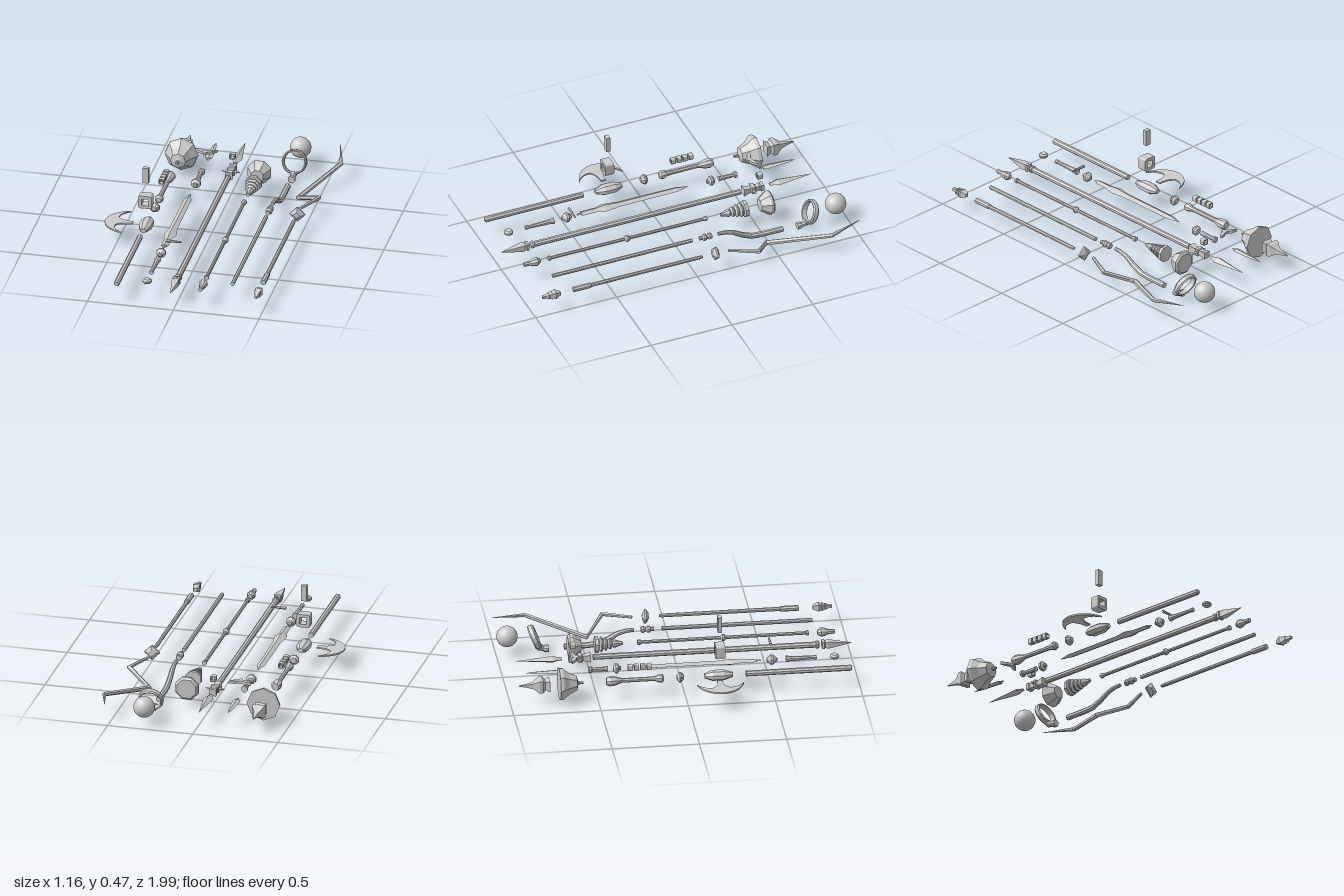
import * as THREE from 'three';

const material = new THREE.MeshStandardMaterial({ color: 0xcccccc, flatShading: true, side: THREE.DoubleSide });
const smooth = new THREE.MeshStandardMaterial({ color: 0xcccccc });
const AXIS = 0.11; // height at which all weapon pieces lie

export function createModel() {
  const model = new THREE.Group();

  function add(name, geometry, x = 0, y = 0, z = 0, mat = material) {
    const mesh = new THREE.Mesh(geometry, mat);
    mesh.name = name;
    mesh.position.set(x, y, z);
    model.add(mesh);
    return mesh;
  }

  // Turned piece lying along z; profile is [z, half width], flat = side faces up
  function turned(name, x, profile, sides = 8, flat = true, yScale = 1) {
    const k = flat ? 1 / Math.cos(Math.PI / sides) : 1;
    const ends = [[profile[0][0], 0], ...profile, [profile[profile.length - 1][0], 0]];
    const pts = ends.map(([z, r]) => new THREE.Vector2(r * k, z));
    const g = new THREE.LatheGeometry(pts, sides, flat ? Math.PI / sides : 0);
    g.rotateX(Math.PI / 2).scale(1, yScale, 1);
    return add(name, g, x, AXIS);
  }

  // Flat plate from an outline of [x, z], extruded upwards
  function plate(name, shape, y, thickness) {
    const g = new THREE.ExtrudeGeometry(shape, { depth: thickness, bevelEnabled: false, curveSegments: 8 });
    g.rotateX(-Math.PI / 2);
    return add(name, g, 0, y - thickness / 2);
  }

  // Tapered bent rod through [x, y, z, radius] sections
  function rod(name, path, sides = 6) {
    const p = path.map(a => new THREE.Vector3(a[0], a[1], a[2]));
    const pos = [], idx = [];
    p.forEach((c, i) => {
      const t = p[Math.min(i + 1, p.length - 1)].clone().sub(p[Math.max(i - 1, 0)]).normalize();
      const u = new THREE.Vector3(0, 1, 0).cross(t).normalize();
      const v = t.clone().cross(u);
      for (let s = 0; s < sides; s++) {
        const a = ((s + 0.5) / sides) * Math.PI * 2, r = path[i][3];
        const q = c.clone().addScaledVector(u, Math.cos(a) * r).addScaledVector(v, Math.sin(a) * r);
        pos.push(q.x, q.y, q.z);
        if (i < p.length - 1) {
          const b = i * sides, n = (s + 1) % sides;
          idx.push(b + s, b + n, b + s + sides, b + n, b + n + sides, b + s + sides);
        }
      }
    });
    const last = (p.length - 1) * sides;
    for (let s = 1; s < sides - 1; s++) idx.push(0, s + 1, s, last, last + s, last + s + 1);
    const g = new THREE.BufferGeometry();
    g.setAttribute('position', new THREE.Float32BufferAttribute(pos, 3));
    g.setIndex(idx);
    g.computeVertexNormals();
    return add(name, g);
  }

  // Square frame with rounded corners, opening along z
  function frame(name, x, y, z, half, hole, depth) {
    const c = half * 0.35, s = new THREE.Shape();
    s.moveTo(-half + c, -half).lineTo(half - c, -half).quadraticCurveTo(half, -half, half, -half + c);
    s.lineTo(half, half - c).quadraticCurveTo(half, half, half - c, half);
    s.lineTo(-half + c, half).quadraticCurveTo(-half, half, -half, half - c);
    s.lineTo(-half, -half + c).quadraticCurveTo(-half, -half, -half + c, -half);
    const h = new THREE.Path();
    h.moveTo(-hole, -hole).lineTo(-hole, hole).lineTo(hole, hole).lineTo(hole, -hole).closePath();
    s.holes.push(h);
    const g = new THREE.ExtrudeGeometry(s, { depth, bevelEnabled: false, curveSegments: 3 });
    return add(name, g, x, y, z - depth / 2);
  }

  // Column 1: mace and axe pieces
  const A = -0.341;
  turned('maceFinial', A, [[-0.95, 0.002], [-0.91, 0.008], [-0.87, 0.016], [-0.835, 0.037], [-0.815, 0.037],
    [-0.8, 0.024], [-0.78, 0.033], [-0.775, 0.033]], 4);
  turned('maceBell', A, [[-0.72, 0.098], [-0.7, 0.096], [-0.665, 0.066], [-0.62, 0.045], [-0.61, 0.01], [-0.58, 0.007]], 8, false);
  turned('maceHandle', A, [[-0.45, 0.02], [-0.43, 0.028], [-0.4, 0.025], [-0.36, 0.012], [-0.2, 0.012],
    [-0.17, 0.014], [-0.145, 0.023], [-0.13, 0.023], [-0.12, 0.014]]);
  for (let i = 0; i < 4; i++) frame('gripBand', A, 0.19, -0.205 - i * 0.036, 0.016, 0.011, 0.027);
  turned('macePommel', A, [[-0.045, 0.016], [-0.032, 0.028], [-0.024, 0.028], [-0.005, 0.013]]);
  turned('axeHead', A, [[0.113, 0.016], [0.157, 0.036], [0.223, 0.036], [0.275, 0.016]], 8, true, 0.76);
  frame('axeSocket', A, 0.267, 0.2, 0.039, 0.02, 0.054);
  add('axeWedge', new THREE.BoxGeometry(0.034, 0.094, 0.024), A, 0.43, 0.2);
  turned('axeShaft', A, [[0.35, 0.015], [0.95, 0.016], [0.957, 0.012]]);
  const blade = new THREE.Shape();
  blade.moveTo(-0.46, -0.055).quadraticCurveTo(-0.575, -0.09, -0.582, -0.19).quadraticCurveTo(-0.575, -0.29, -0.455, -0.325);
  blade.quadraticCurveTo(-0.52, -0.285, -0.51, -0.235).quadraticCurveTo(-0.485, -0.203, -0.42, -0.205);
  blade.lineTo(-0.42, -0.175).quadraticCurveTo(-0.485, -0.177, -0.51, -0.145).quadraticCurveTo(-0.52, -0.095, -0.46, -0.055);
  plate('axeBlade', blade, AXIS, 0.009);

  // Column 2: dagger and sword pieces
  const B = -0.18;
  turned('daggerBlade', B, [[-0.89, 0.001], [-0.85, 0.012], [-0.71, 0.022], [-0.695, 0.02], [-0.69, 0.008], [-0.67, 0.008]], 4, false, 0.4);
  const guard = new THREE.Shape();
  guard.moveTo(-0.246, 0.635).lineTo(-0.21, 0.632).quadraticCurveTo(B, 0.605, -0.15, 0.632).lineTo(-0.115, 0.635);
  guard.lineTo(-0.14, 0.61).lineTo(-0.168, 0.6).lineTo(-0.172, 0.585).lineTo(-0.188, 0.585).lineTo(-0.192, 0.6).lineTo(-0.22, 0.61);
  plate('daggerGuard', guard, 0.19, 0.016);
  turned('daggerGrip', B, [[-0.53, 0.018], [-0.515, 0.018], [-0.51, 0.011], [-0.44, 0.012], [-0.42, 0.015]]);
  turned('daggerPommel', B, [[-0.39, 0.015], [-0.378, 0.027], [-0.365, 0.027], [-0.355, 0.012], [-0.345, 0.01]]);
  turned('swordBlade', B, [[-0.235, 0.001], [-0.16, 0.022], [0.2, 0.024], [0.285, 0.037], [0.34, 0.022], [0.43, 0.021],
    [0.432, 0.008], [0.455, 0.008]], 4, false, 0.5);
  turned('swordCollar', B, [[0.49, 0.01], [0.502, 0.018], [0.512, 0.027], [0.525, 0.027], [0.54, 0.015], [0.55, 0.008]]);
  const arm = new THREE.CylinderGeometry(0.005, 0.009, 0.09, 6).rotateZ(-Math.PI / 2);
  add('swordGuardArm', arm, -0.107, 0.19, 0.517);
  turned('swordGrip', B, [[0.6, 0.018], [0.608, 0.018], [0.62, 0.014], [0.7, 0.011], [0.755, 0.009], [0.76, 0.012], [0.775, 0.012]]);
  const disc = [[0, -0.013], [0.018, -0.013], [0.027, -0.005], [0.027, 0.005], [0.018, 0.013], [0, 0.013]];
  add('swordPommel', new THREE.LatheGeometry(disc.map(p => new THREE.Vector2(...p)), 10), B, AXIS, 0.878);

  // Column 3: spear
  const C = -0.018;
  turned('spearHead', C, [[-0.925, 0.001], [-0.715, 0.029], [-0.685, 0.016], [-0.665, 0.014]], 4, false, 0.7);
  turned('spearSocket', C, [[-0.625, 0.02], [-0.605, 0.02], [-0.6, 0.015], [-0.575, 0.016], [-0.57, 0.022], [-0.55, 0.022],
    [-0.545, 0.015], [-0.525, 0.017], [-0.5, 0.023]], 4);
  for (const side of [-1, 1]) {
    const spike = new THREE.ConeGeometry(0.013, 0.045, 4).rotateZ(-side * Math.PI / 2);
    add('spearSpike', spike, C + side * 0.036, AXIS, -0.56);
  }
  frame('spearBand', C, 0.19, -0.602, 0.017, 0.011, 0.03);
  turned('spearShaft', C, [[-0.485, 0.015], [0.79, 0.016], [0.793, 0.021], [0.805, 0.021], [0.812, 0.015]]);
  turned('spearButt', C, [[0.825, 0.02], [0.84, 0.022], [0.845, 0.016], [0.86, 0.02], [0.88, 0.018], [0.995, 0.001]], 4);

  // Column 4: sceptre
  const D = 0.14;
  turned('sceptreHead', D, [[-0.61, 0.055], [-0.6, 0.067], [-0.585, 0.067], [-0.535, 0.035]]);
  const tiers = [[-0.455, 0.045], [-0.435, 0.045]];
  for (let i = 0; i < 4; i++) {
    const z = -0.43 + i * 0.025, r = 0.04 - i * 0.006;
    tiers.push([z, r * 0.72], [z + 0.008, r], [z + 0.016, r]);
  }
  tiers.push([-0.325, 0.016], [-0.295, 0.009]);
  turned('sceptreTiers', D, tiers);
  turned('sceptreShaft', D, [[-0.21, 0.014], [-0.195, 0.014], [-0.185, 0.009], [0.265, 0.009], [0.275, 0.018], [0.288, 0.018],
    [0.298, 0.009], [0.755, 0.009], [0.758, 0.014], [0.77, 0.014]]);
  turned('sceptreButt', D, [[0.82, 0.012], [0.84, 0.024], [0.86, 0.022], [0.885, 0.013], [0.92, 0.012]]);

  // Column 5: orb staff with tilted ring cradle
  const E = 0.302;
  add('orb', new THREE.SphereGeometry(0.061, 24, 16), E, 0.114, -0.937, smooth);
  const band = [[0.06, -0.015], [0.067, -0.018], [0.073, -0.01], [0.073, 0.01], [0.067, 0.018], [0.06, 0.015], [0.06, -0.015]];
  const ring = add('orbRing', new THREE.LatheGeometry(band.map(p => new THREE.Vector2(...p)), 16).rotateX(Math.PI / 2), E, 0.1, -0.78);
  ring.rotation.x = -0.38;
  rod('ringStem', [[E, 0.037, -0.755, 0.022], [E, 0.027, -0.73, 0.016], [E, 0.024, -0.715, 0.022], [E, 0.024, -0.698, 0.022]], 8);
  rod('crook', [[E, 0.03, -0.61, 0.017], [E, 0.03, -0.48, 0.017], [E, 0.035, -0.42, 0.017], [E, 0.06, -0.36, 0.016],
    [E, 0.095, -0.3, 0.014], [E, 0.108, -0.25, 0.012], [E, AXIS, -0.21, 0.011]], 8);
  turned('staffCollar', E, [[-0.17, 0.015], [-0.155, 0.019], [-0.142, 0.011], [-0.132, 0.019], [-0.12, 0.019], [-0.112, 0.011], [-0.095, 0.012]]);
  turned('staffShaft', E, [[-0.05, 0.011], [0.812, 0.011]]);

  // Column 6: crooked branch staff
  const F = 0.468;
  rod('branch', [[0.52, 0.13, -0.995, 0.001], [0.571, 0.11, -0.8, 0.013], [0.395, 0.035, -0.468, 0.015],
    [0.54, 0.105, -0.362, 0.014], [F, AXIS, -0.2, 0.009]]);
  turned('branchCollar', F, [[-0.142, 0.02], [-0.13, 0.046], [-0.12, 0.046], [-0.105, 0.02]], 4, false);
  turned('branchShaft', F, [[-0.045, 0.007], [-0.03, 0.01], [0.645, 0.011], [0.65, 0.015], [0.755, 0.015]]);
  turned('branchButt', F, [[0.835, 0.01], [0.868, 0.021], [0.885, 0.015], [0.888, 0.019], [0.905, 0.013], [0.908, 0.016],
    [0.922, 0.009], [0.945, 0.008]], 4);

  return model;
}
